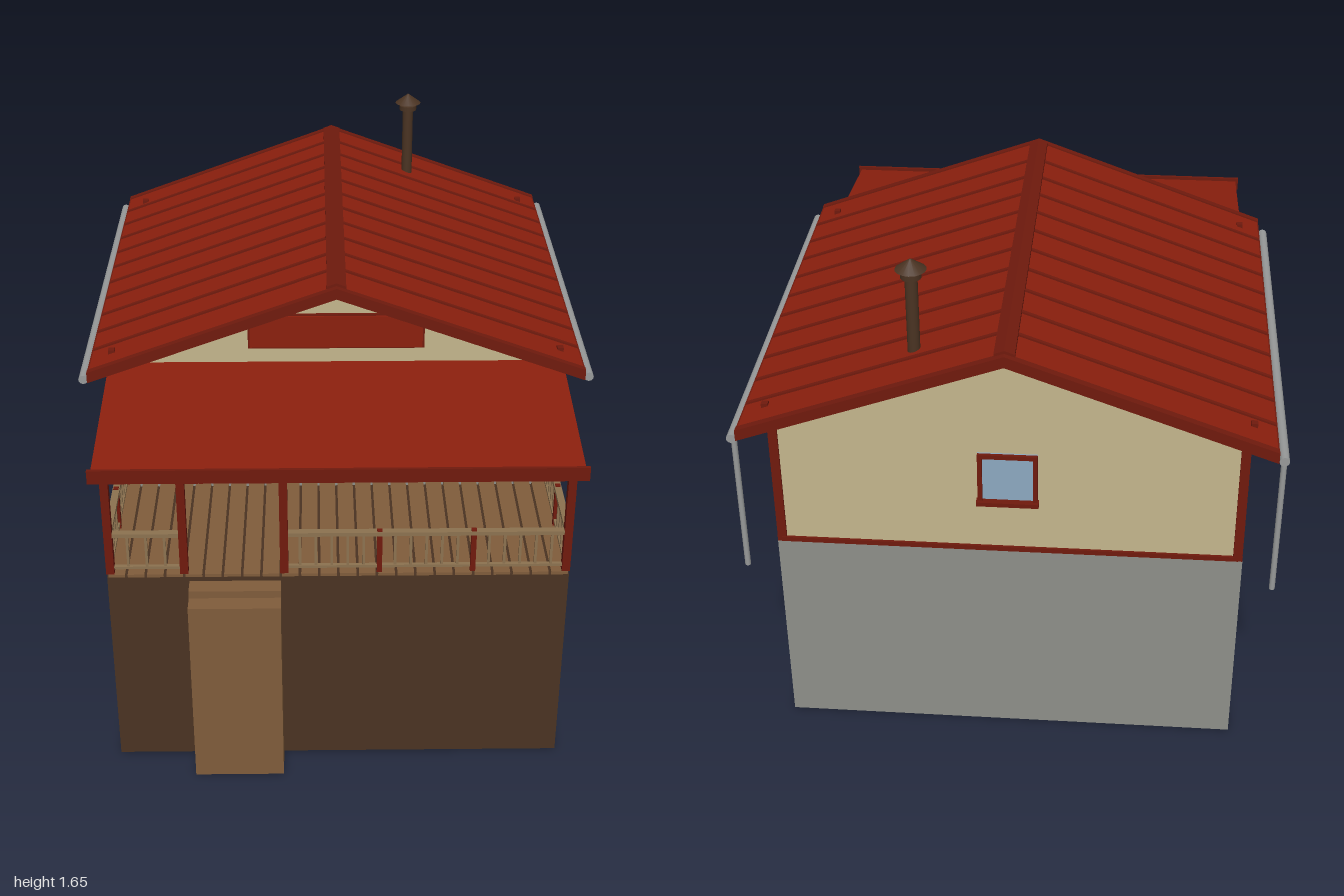
import * as THREE from 'three';

const mat = (name, color) => Object.assign(new THREE.MeshStandardMaterial({ color }), { name });

export function createModel() {
  const house = new THREE.Group();
  house.name = 'house';
  const roofRed = mat('roof red', 0x8b1f0d), trimRed = mat('trim red', 0x701a0d);
  const cream = mat('cream wall', 0xc4b68c), concrete = mat('concrete grey', 0x8e8f89);
  const metal = mat('gutter grey', 0x989a9a), glass = mat('window blue', 0x8ca9c0);
  const darkWood = mat('dark brown', 0x4a3322), wood = mat('wood brown', 0x805c3b);
  const railWood = mat('rail brown', 0x8c7250);

  const add = (name, geo, m, parent = house) => {
    const mesh = new THREE.Mesh(geo, m);
    mesh.name = name;
    parent.add(mesh);
    return mesh;
  };
  // box given by its limits on each axis
  const box = (name, m, x0, x1, y0, y1, z0, z1, parent = house) => {
    const mesh = add(name, new THREE.BoxGeometry(x1 - x0, y1 - y0, z1 - z0), m, parent);
    mesh.position.set((x0 + x1) / 2, (y0 + y1) / 2, (z0 + z1) / 2);
    return mesh;
  };
  const cyl = (name, m, r0, r1, x, y0, y1, z, n = 16) => {
    const mesh = add(name, new THREE.CylinderGeometry(r1, r0, y1 - y0, n), m);
    mesh.position.set(x, (y0 + y1) / 2, z);
    return mesh;
  };
  const extrude = (name, m, shape, z0, z1) => {
    const geo = new THREE.ExtrudeGeometry(shape, { depth: z1 - z0, bevelEnabled: false });
    add(name, geo, m).position.z = z0;
  };
  const poly = pts => new THREE.Shape(pts.map(p => new THREE.Vector2(...p)));

  // ground storey, deck base and steps
  box('groundStorey', concrete, -0.713, 0.713, 0, 0.7, -0.905, 0.37);
  box('deckBase', darkWood, -0.705, 0.705, 0, 0.69, 0.37, 0.89);
  box('upperStep', wood, -0.455, -0.175, 0, 0.675, 0.89, 0.945);
  box('lowerStep', wood, -0.455, -0.175, 0, 0.65, 0.945, 1.0);
  for (let i = 0; i < 24; i++) {
    const x = -0.705 + i * 0.05875;
    box('deckPlank', wood, x + 0.004, x + 0.0548, 0.69, 0.7, 0.37, 0.89);
  }

  // upper walls: gable ends and long sides
  const gable = () => poly([[-0.7, 0.7], [0.7, 0.7], [0.7, 1.17], [0, 1.43], [-0.7, 1.17]]);
  const front = gable();
  front.holes.push(poly([[-0.445, 0.705], [-0.445, 1.04], [-0.185, 1.04], [-0.185, 0.705]]));
  extrude('frontWall', cream, front, 0.345, 0.365);
  extrude('backWall', cream, gable(), -0.9, -0.88);
  for (const s of [-1, 1]) {
    const a = s * 0.7, b = s * 0.68;
    box('sideWall', cream, Math.min(a, b), Math.max(a, b), 0.7, 1.17, -0.88, 0.345);
    box('sideBaseTrim', trimRed, s * 0.705 - 0.008, s * 0.705 + 0.008, 0.7, 0.716, -0.905, 0.37);
    for (const z of [-0.895, 0.36])
      box('cornerTrim', trimRed, s * 0.698 - 0.014, s * 0.698 + 0.014, 0.7, 1.17, z - 0.012, z + 0.012);
  }
  box('backBaseTrim', trimRed, -0.7, 0.7, 0.7, 0.716, -0.908, -0.898);
  box('ceiling', cream, -0.69, 0.69, 1.14, 1.15, -0.89, 0.35);
  box('floor', wood, -0.69, 0.69, 0.695, 0.704, -0.89, 0.35);

  // doorway frame
  box('doorJamb', trimRed, -0.455, -0.443, 0.7, 1.05, 0.34, 0.372);
  box('doorJamb', trimRed, -0.187, -0.175, 0.7, 1.05, 0.34, 0.372);
  box('doorLintel', trimRed, -0.455, -0.175, 1.035, 1.05, 0.34, 0.372);

  // room furniture seen through the doorway
  box('counter', wood, -0.62, -0.285, 0.704, 0.825, -0.6, -0.35);
  box('counterTop', railWood, -0.63, -0.28, 0.825, 0.84, -0.61, -0.34);
  box('stove', darkWood, -0.44, -0.375, 0.704, 0.79, -0.36, -0.335);
  box('cupboard', cream, -0.28, -0.12, 0.704, 0.97, -0.6, -0.38);
  box('cupboardShelf', railWood, -0.28, -0.12, 0.84, 0.848, -0.6, -0.375);
  box('hood', metal, -0.28, -0.12, 0.98, 1.03, -0.6, -0.38);
  box('wallCabinet', metal, -0.27, -0.235, 0.94, 0.975, -0.38, -0.372);

  // framed window facing +z, then turned to its wall
  const windowAt = (name, w, y0, y1, x, z, turn, panes = 1, f = 0.014) => {
    const g = new THREE.Group();
    g.name = name;
    const h = w / 2;
    box('pane', glass, -h, h, y0, y1, 0, 0.005, g);
    for (const s of [-1, 1]) box('frameSide', trimRed, s * (h - f / 2) - f / 2, s * (h - f / 2) + f / 2, y0, y1, 0, 0.015, g);
    box('frameTop', trimRed, -h, h, y1 - f, y1, 0, 0.015, g);
    box('frameSill', trimRed, -h - 0.004, h + 0.004, y0, y0 + f, 0, 0.026, g);
    for (let i = 1; i < panes; i++) {
      const mx = -h + (w * i) / panes;
      box('mullion', trimRed, mx - 0.004, mx + 0.004, y0, y1, 0, 0.012, g);
    }
    g.position.set(x, 0, z);
    g.rotation.y = turn;
    house.add(g);
  };
  const quarter = Math.PI / 2;
  windowAt('leftFrontWindow', 0.28, 0.845, 1.07, 0.7, 0.045, quarter);
  windowAt('leftMiddleWindow', 0.28, 0.845, 1.07, 0.7, -0.405, quarter);
  windowAt('leftSmallWindow', 0.17, 0.895, 1.07, 0.7, -0.75, quarter);
  windowAt('rightWindow', 0.28, 0.845, 1.07, -0.7, -0.19, -quarter);
  windowAt('backWindow', 0.18, 0.88, 1.06, 0, -0.9, Math.PI);
  windowAt('frontWindow', 0.455, 0.835, 1.07, 0.327, 0.365, 0, 3, 0.007);

  // gable panel
  box('gablePanelFrame', trimRed, -0.28, 0.28, 1.205, 1.325, 0.365, 0.373);
  box('gablePanel', roofRed, -0.274, 0.274, 1.211, 1.319, 0.373, 0.378);

  // main roof: an inverted V with seams, end boards and ridge cap
  const slope = 0.365;
  const chevron = (name, m, top, thick, w, z0, z1) => extrude(name, m, poly([
    [-w, top - slope * w], [-w, top - thick - slope * w], [0, top - thick],
    [w, top - thick - slope * w], [w, top - slope * w], [0, top]]), z0, z1);
  chevron('roof', roofRed, 1.45, 0.022, 0.783, -0.985, 0.45);
  for (let i = 0; i < 10; i++) {
    const z = -0.85 + i * 0.128;
    chevron('roofSeam', trimRed, 1.456, 0.01, 0.783, z - 0.006, z + 0.006);
  }
  chevron('frontEndBoard', trimRed, 1.455, 0.036, 0.785, 0.44, 0.463);
  chevron('backEndBoard', trimRed, 1.455, 0.036, 0.785, -0.998, -0.975);
  chevron('ridgeCap', trimRed, 1.464, 0.02, 0.03, -0.98, 0.442);
  for (const s of [-1, 1]) {
    box('eaveBoard', trimRed, s * 0.778 - 0.007, s * 0.778 + 0.007, 1.137, 1.165, -0.985, 0.45);
    const gutter = add('gutter', new THREE.CylinderGeometry(0.015, 0.015, 1.41, 12), metal);
    gutter.rotation.x = quarter;
    gutter.position.set(s * 0.802, 1.127, -0.275);
    cyl('downpipe', metal, 0.009, 0.009, s * 0.805, 0.63, 1.13, -0.94, 10);
    for (const z of [-0.89, 0.36])
      box('roofStud', trimRed, s * 0.715 - 0.01, s * 0.715 + 0.01, 1.18, 1.2, z - 0.01, z + 0.01);
  }

  // chimney pipe with collar and rain cap
  cyl('chimneyPipe', darkWood, 0.019, 0.019, 0.28, 1.32, 1.6, -0.8);
  cyl('chimneyCollar', darkWood, 0.031, 0.031, 0.28, 1.588, 1.604, -0.8);
  cyl('chimneyRod', darkWood, 0.008, 0.008, 0.28, 1.6, 1.62, -0.8, 8);
  cyl('chimneyCap', darkWood, 0.046, 0.002, 0.28, 1.614, 1.647, -0.8);

  // porch roof, beam and posts
  const dz = 0.57, dy = 0.067;
  const sheet = add('porchRoof', new THREE.BoxGeometry(1.45, 0.012, Math.hypot(dz, dy)), roofRed);
  sheet.position.set(0, 1.115, 0.365 + dz / 2);
  sheet.rotation.x = Math.atan2(dy, dz);
  box('porchFascia', trimRed, -0.735, 0.735, 1.055, 1.1, 0.928, 0.938);
  box('porchBeam', trimRed, -0.71, 0.71, 1.04, 1.072, 0.863, 0.889);
  for (const x of [-0.695, -0.47, -0.165, 0.695])
    box('porchPost', trimRed, x - 0.0125, x + 0.0125, 0.7, 1.05, 0.863, 0.888);

  // railings: a run along local x, with balusters, placed and turned
  const railing = (name, length, x, z, turn) => {
    const g = new THREE.Group();
    g.name = name;
    const h = length / 2, n = Math.round(length / 0.05);
    box('topRail', railWood, -h, h, 0.832, 0.845, -0.011, 0.011, g);
    box('bottomRail', railWood, -h, h, 0.715, 0.724, -0.006, 0.006, g);
    for (let i = 1; i < n; i++) {
      const bx = -h + (length * i) / n;
      box('baluster', railWood, bx - 0.004, bx + 0.004, 0.72, 0.835, -0.004, 0.004, g);
    }
    g.position.set(x, 0, z);
    g.rotation.y = turn;
    house.add(g);
  };
  const rowX = [[-0.695, -0.47], [-0.165, 0.125], [0.125, 0.41], [0.41, 0.695]];
  for (const [a, b] of rowX) railing('frontRailing', b - a, (a + b) / 2, 0.876, 0);
  for (const x of [0.125, 0.41])
    box('railPost', trimRed, x - 0.008, x + 0.008, 0.7, 0.848, 0.868, 0.884);
  for (const s of [-1, 1]) {
    railing('sideRailing', 0.25, s * 0.695, 0.5, quarter);
    railing('sideRailing', 0.245, s * 0.695, 0.75, quarter);
    box('railPost', trimRed, s * 0.695 - 0.008, s * 0.695 + 0.008, 0.7, 0.848, 0.62, 0.636);
  }
  return house;
}
